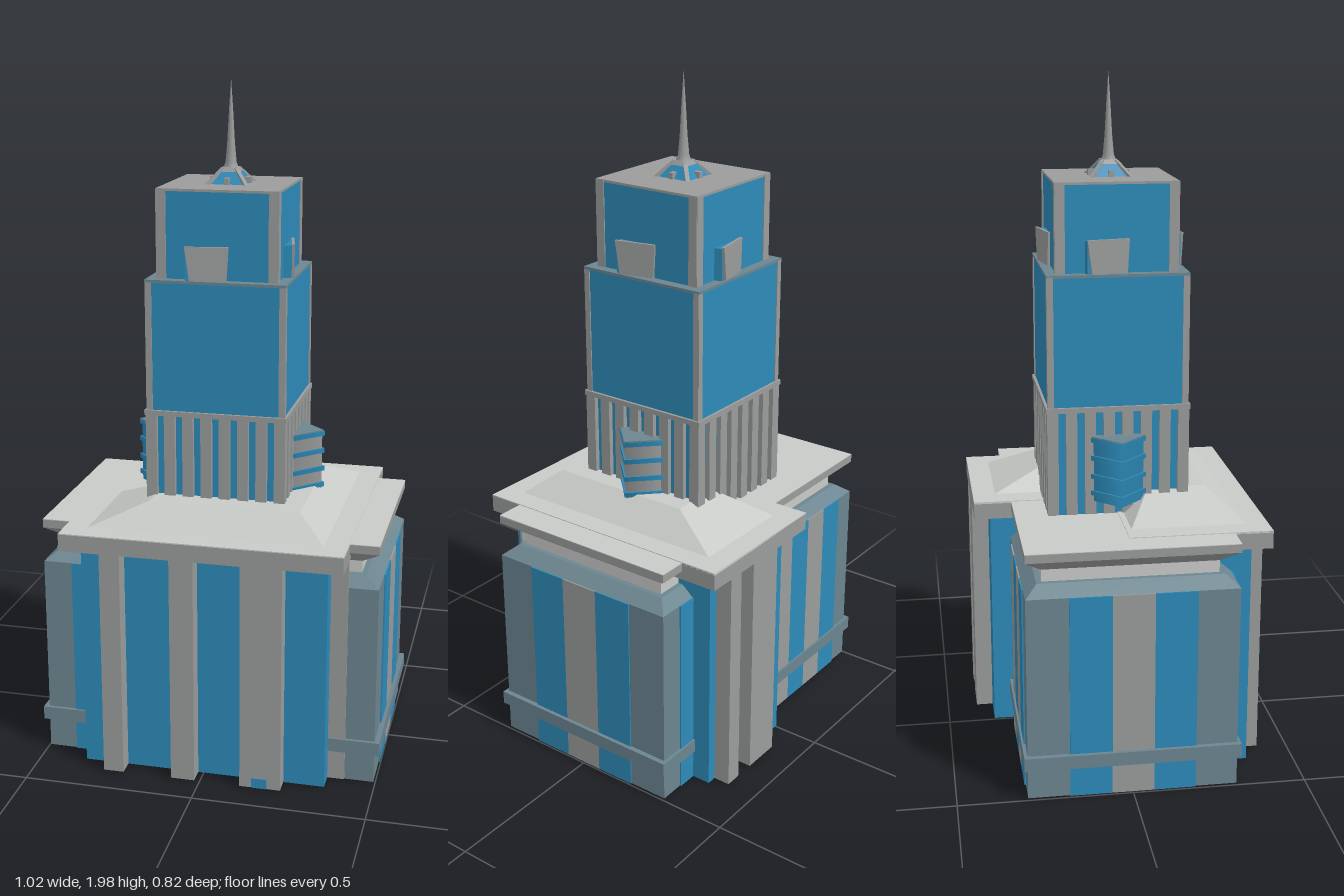
import * as THREE from 'three';

const mat = (name, color) => {
  const m = new THREE.MeshStandardMaterial({ color });
  m.name = name;
  return m;
};

export function createModel() {
  const root = new THREE.Group();
  const blue = mat('blue glass', 0x2c8ab8);
  const grey = mat('grey stone', 0x9a9c9b);
  const light = mat('light roof', 0xc8cac8);
  const slate = mat('slate', 0x6c8590);

  const add = (name, geo, material, parent = root) => {
    const m = new THREE.Mesh(geo, material);
    m.name = name;
    parent.add(m);
    return m;
  };
  // Box given by its limits
  const box = (name, m, x0, x1, y0, y1, z0, z1, parent) => {
    const g = new THREE.BoxGeometry(x1 - x0, y1 - y0, z1 - z0);
    g.translate((x0 + x1) / 2, (y0 + y1) / 2, (z0 + z1) / 2);
    return add(name, g, m, parent);
  };
  // Centred block whose top has a different size from its bottom
  const taper = (name, m, y0, x0, z0, y1, x1, z1) => {
    const g = new THREE.BoxGeometry(2, 1, 2).toNonIndexed();
    const p = g.attributes.position;
    for (let i = 0; i < p.count; i++) {
      const top = p.getY(i) > 0;
      p.setXYZ(i, p.getX(i) * (top ? x1 : x0), top ? y1 : y0, p.getZ(i) * (top ? z1 : z0));
    }
    g.computeVertexNormals();
    return add(name, g, m);
  };
  // Four copies of a facade, one for each side
  const fourSides = (name, build) => {
    for (let i = 0; i < 4; i++) {
      const side = new THREE.Group();
      side.name = name;
      side.rotation.y = i * Math.PI / 2;
      build(side, i);
      root.add(side);
    }
  };

  // Broad side wings with coloured stripes
  box('wings', slate, -0.495, 0.495, 0, 0.6, -0.3, 0.3);
  for (const s of [-1, 1]) {
    const x0 = s < 0 ? -0.499 : 0.491;
    for (const z of [-0.18, 0.06]) box('wingStripe', blue, x0, x0 + 0.008, 0, 0.6, z, z + 0.12);
    box('wingMiddleStripe', grey, x0, x0 + 0.008, 0, 0.6, -0.06, 0.06);
    for (let i = 0; i < 4; i++) {
      const a = s < 0 ? -0.42 + i * 0.09 : 0.33 - i * 0.09;
      box('wingBackStripe', i % 2 ? grey : blue, a, a + 0.09, 0, 0.6, -0.304, -0.298);
    }
  }
  box('wingFrontStripe', blue, -0.41, -0.35, 0, 0.6, 0.298, 0.304);
  box('wingFrontPost', grey, 0.355, 0.41, 0, 0.68, 0.296, 0.304);
  box('baseBand', slate, -0.51, 0.51, 0.09, 0.13, -0.31, 0.31);

  // Wing cornice: sloping ledge, neck, flare and lip
  taper('wingLedge', slate, 0.6, 0.495, 0.3, 0.63, 0.455, 0.265);
  taper('wingNeck', light, 0.63, 0.44, 0.25, 0.67, 0.44, 0.25);
  taper('wingFlare', grey, 0.665, 0.44, 0.25, 0.705, 0.495, 0.3);
  box('wingLip', grey, -0.495, 0.495, 0.705, 0.729, -0.3, 0.3);
  box('wingRoof', light, -0.495, 0.495, 0.725, 0.731, -0.3, 0.3);

  // Front bay and the half-width rear bay
  box('frontBay', blue, -0.36, 0.36, 0, 0.69, 0, 0.36);
  box('rearBay', blue, 0, 0.36, 0, 0.69, -0.36, 0);
  const piers = [[-0.29, -0.23], [-0.085, -0.015], [0.12, 0.24]];
  for (const [a, b] of piers) box('frontPier', grey, a, b, 0, 0.69, 0.35, 0.41);
  for (const [a, b] of [[0.1, 0.22], [0.28, 0.33]]) box('rearPier', grey, a, b, 0, 0.69, -0.41, -0.35);
  box('doorway', blue, 0.155, 0.2, 0, 0.03, 0.408, 0.412);

  // Roof slabs with light tops
  const slabs = [[-0.41, 0.41, 0, 0.41], [-0.05, 0.41, -0.41, 0]];
  for (const [x0, x1, z0, z1] of slabs) {
    box('roofSlab', grey, x0, x1, 0.68, 0.73, z0, z1);
    box('roofTop', light, x0, x1, 0.727, 0.733, z0, z1);
  }

  // Stepped base under the open bottom
  add('undersidePlate', new THREE.CylinderGeometry(0.28, 0.28, 0.008, 8), grey).position.y = 0;

  // L-shaped sloping roof, lofted between two outlines (x, z)
  const low = [[-0.345, 0.345], [0.345, 0.345], [0.345, -0.345], [0.02, -0.345], [0.02, 0.015], [-0.345, 0.015]];
  const high = [[-0.18, 0.26], [0.26, 0.26], [0.26, -0.18], [0.1, -0.18], [0.1, 0.09], [-0.18, 0.09]];
  const pos = [];
  const tri = (...pts) => pts.forEach(([x, z, y]) => pos.push(x, y, z));
  for (let i = 0; i < 6; i++) {
    const j = (i + 1) % 6;
    const a = [...low[i], 0.732], b = [...low[j], 0.732], c = [...high[j], 0.8], d = [...high[i], 0.8];
    tri(a, b, c, a, c, d);
  }
  const h = high.map(p => [...p, 0.8]);
  for (const [a, b, c] of [[4, 0, 1], [4, 1, 2], [4, 2, 3], [4, 5, 0]]) tri(h[a], h[b], h[c]);
  const slope = new THREE.BufferGeometry();
  slope.setAttribute('position', new THREE.Float32BufferAttribute(pos, 3));
  slope.computeVertexNormals();
  add('slopingRoof', slope, light);

  // Ribbed lower tower
  box('lowerTower', blue, -0.19, 0.19, 0.73, 1.05, -0.19, 0.19);
  fourSides('ribs', side => {
    for (let i = 0; i < 8; i++) {
      const x = -0.189 + i * 0.054;
      box('rib', grey, x - 0.016, x + 0.016, 0.735, 1.045, 0.185, 0.205, side);
    }
  });
  box('ribCornice', grey, -0.208, 0.208, 1.04, 1.055, -0.208, 0.208);

  // Diamond turrets with rings on both sides
  for (const s of [-1, 1]) {
    const body = add('turret', new THREE.CylinderGeometry(0.08, 0.08, 0.19, 4), s < 0 ? blue : grey);
    body.position.set(s * 0.197, 0.87, 0);
    for (const y of [0.8, 0.85, 0.905, 0.958]) {
      add('turretRing', new THREE.CylinderGeometry(0.088, 0.088, 0.014, 4), blue).position.set(s * 0.197, y, 0);
    }
    add('turretCap', new THREE.CylinderGeometry(0.085, 0.085, 0.004, 4), slate).position.set(s * 0.197, 0.966, 0);
  }

  // Middle tower with a slate terrace
  box('middleTower', blue, -0.2, 0.2, 1.05, 1.43, -0.2, 0.2);
  box('terrace', slate, -0.203, 0.203, 1.426, 1.434, -0.203, 0.203);
  // Upper tower
  box('upperTower', blue, -0.173, 0.173, 1.43, 1.683, -0.173, 0.173);
  box('upperRoof', grey, -0.175, 0.175, 1.68, 1.687, -0.175, 0.175);
  fourSides('towerTrim', side => {
    for (const s of [-1, 1]) {
      box('middleCorner', grey, s * 0.193 - 0.009, s * 0.193 + 0.009, 1.05, 1.43, 0.198, 0.203, side);
      box('upperCorner', grey, s * 0.161 - 0.014, s * 0.161 + 0.014, 1.43, 1.685, 0.17, 0.176, side);
    }
    // Slanted dormer panel on a turned blue box
    const dormer = new THREE.Group();
    dormer.name = 'dormer';
    dormer.position.set(-0.03, 1.48, 0.172);
    dormer.rotation.y = 0.2;
    box('dormerBody', blue, -0.06, 0.06, -0.05, 0.046, -0.02, 0.012, dormer);
    const panel = new THREE.Shape([[-0.048, -0.05], [0.056, -0.05], [0.062, 0.05], [-0.062, 0.05]]
      .map(p => new THREE.Vector2(...p)));
    const g = new THREE.ExtrudeGeometry(panel, { depth: 0.008, bevelEnabled: false });
    g.translate(0, 0, 0.012);
    add('dormerPanel', g, grey, dormer);
    side.add(dormer);
  });

  // Crown and spire
  taper('crown', blue, 1.685, 0.055, 0.055, 1.725, 0.025, 0.025);
  taper('crownTop', grey, 1.72, 0.03, 0.03, 1.732, 0.022, 0.022);
  fourSides('crownFins', side => {
    const fin = new THREE.Shape([[0, 0], [0.085, 0], [0.03, 0.045], [0, 0.045]].map(p => new THREE.Vector2(...p)));
    const g = new THREE.ExtrudeGeometry(fin, { depth: 0.012, bevelEnabled: false });
    g.translate(0, 1.686, -0.006);
    g.rotateY(Math.PI / 4);
    add('cornerFin', g, grey, side);
    box('middleFin', grey, -0.007, 0.007, 1.686, 1.705, 0.03, 0.06, side);
  });
  const profile = [[0.022, 1.73], [0.016, 1.745], [0.011, 1.8], [0.006, 1.89], [0, 1.98]];
  add('spire', new THREE.LatheGeometry(profile.map(p => new THREE.Vector2(...p)), 10), grey);

  return root;
}
